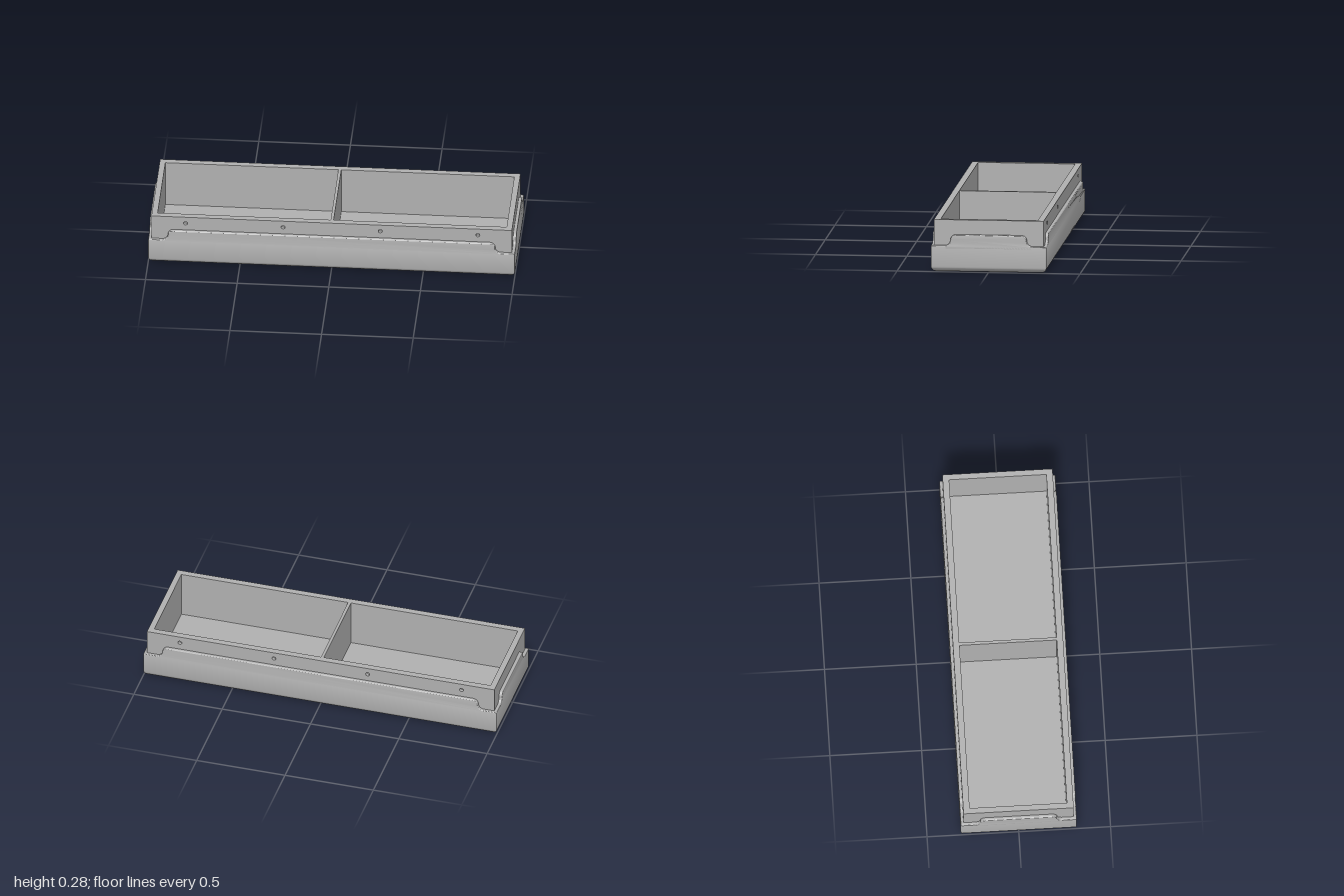
import * as THREE from 'three';
import { toCreasedNormals } from 'three/addons/utils/BufferGeometryUtils.js';

const HX = 1, HZ = 0.316;          // outer shell half sizes
const BX = 0.983, BZ = 0.3;        // inner box half sizes
const CX = 0.952, CZ = 0.265;      // cavity half sizes
const TOP = 0.285, FLOOR = 0.02, LOW = 0.145, HIGH = 0.205;

// Rounded rectangle ring, inset from the shell outline
function ring(inset, y) {
  const r = 0.006, pts = [];
  for (let q = 0; q < 4; q++) {
    const sx = q === 0 || q === 3 ? 1 : -1, sz = q < 2 ? 1 : -1;
    for (let i = 0; i <= 4; i++) {
      const t = (q + i / 4) * Math.PI / 2;
      pts.push([sx * (HX - inset - r) + r * Math.cos(t), y, sz * (HZ - inset - r) + r * Math.sin(t)]);
    }
  }
  return pts;
}

// Lower shell: filleted bottom edge, straight sides, softly rounded rim
function shellGeometry() {
  const R = 0.03, e = 0.005, rings = [];
  for (let i = 0; i <= 8; i++) {
    const t = i / 8 * Math.PI / 2;
    rings.push(ring(R * (1 - Math.sin(t)), R * (1 - Math.cos(t))));
  }
  for (let i = 0; i <= 4; i++) {
    const t = i / 4 * Math.PI / 2;
    rings.push(ring(e * (1 - Math.cos(t)), LOW - e + e * Math.sin(t)));
  }
  rings.push(ring(0.022, LOW));
  const n = rings[0].length, pos = rings.flat(2), idx = [];
  pos.push(0, 0, 0);
  const centre = rings.length * n;
  for (let k = 0; k < n; k++) {
    const m = (k + 1) % n;
    idx.push(centre, k, m);
    for (let j = 0; j < rings.length - 1; j++) {
      const a = j * n + k, b = j * n + m;
      idx.push(a, a + n, b, b, a + n, b + n);
    }
  }
  const g = new THREE.BufferGeometry();
  g.setAttribute('position', new THREE.Float32BufferAttribute(pos, 3));
  g.setIndex(idx);
  return toCreasedNormals(g, 0.6);
}

// Raised side panel with S-curved shoulders, outer face at z = face
function panelGeometry(half, face) {
  const r = (HIGH - LOW) / 2, mid = LOW + r, base = LOW - 0.02, b = 0.005;
  const s = new THREE.Shape();
  s.moveTo(-half - r, base);
  s.lineTo(half + r, base);
  s.lineTo(half + r, LOW);
  s.absarc(half + r, mid, r, -Math.PI / 2, -Math.PI, true);
  s.absarc(half - r, mid, r, 0, Math.PI / 2, false);
  s.lineTo(-half + r, HIGH);
  s.absarc(-half + r, mid, r, Math.PI / 2, Math.PI, false);
  s.absarc(-half - r, mid, r, 0, -Math.PI / 2, true);
  s.closePath();
  const g = new THREE.ExtrudeGeometry(s, {
    depth: 0.014, bevelEnabled: true, bevelThickness: b, bevelSize: b,
    bevelOffset: -b, bevelSegments: 3, curveSegments: 10,
  });
  g.translate(0, 0, face - 0.014 - b);
  return toCreasedNormals(g, 0.6);
}

// Outer layer of a long wall, pierced by four screw holes
function drilledWallGeometry(depth) {
  const s = new THREE.Shape();
  s.moveTo(-BX, FLOOR);
  s.lineTo(BX, FLOOR);
  s.lineTo(BX, TOP);
  s.lineTo(-BX, TOP);
  s.closePath();
  for (const x of [-0.797, -0.265, 0.265, 0.797]) {
    const h = new THREE.Path();
    h.absarc(x, 0.247, 0.011, 0, Math.PI * 2, true);
    s.holes.push(h);
  }
  const g = new THREE.ExtrudeGeometry(s, { depth, bevelEnabled: false, curveSegments: 10 });
  g.translate(0, 0, BZ - depth);
  return toCreasedNormals(g, 0.7);
}

export function createModel() {
  const model = new THREE.Group();
  model.name = 'dividedTray';
  const grey = new THREE.MeshStandardMaterial({ color: 0xb0b0b0 });
  grey.name = 'plain grey';

  const add = (name, geometry, turn = 0) => {
    const m = new THREE.Mesh(geometry, grey);
    m.name = name;
    m.rotation.y = turn;
    model.add(m);
    return m;
  };
  const box = (name, w, h, d, x, y, z) =>
    add(name, new THREE.BoxGeometry(w, h, d)).position.set(x, y, z);

  add('lowerShell', shellGeometry());

  // Raised panels on all four sides
  const longPanel = panelGeometry(HX - 0.107, HZ);
  const endPanel = panelGeometry(HZ - 0.107, HX);
  add('frontPanel', longPanel);
  add('backPanel', longPanel, Math.PI);
  add('leftPanel', endPanel, Math.PI / 2);
  add('rightPanel', endPanel, -Math.PI / 2);

  // Inner box: floor, walls and divider
  const h = TOP - FLOOR, y = (TOP + FLOOR) / 2, drill = 0.02;
  box('floor', 2 * BX - 0.04, 0.015, 2 * BZ - 0.02, 0, FLOOR - 0.0075, 0);
  const wall = drilledWallGeometry(drill);
  add('frontWall', wall);
  add('backWall', wall, Math.PI);
  const lining = BZ - drill - CZ;
  for (const s of [1, -1]) {
    box(s > 0 ? 'frontLining' : 'backLining', 2 * BX, h, lining, 0, y, s * (CZ + lining / 2));
    box(s > 0 ? 'leftWall' : 'rightWall', BX - CX, h, 2 * CZ, s * (BX + CX) / 2, y, 0);
  }
  box('divider', 0.016, h, 2 * CZ, 0, y, 0);

  return model;
}
